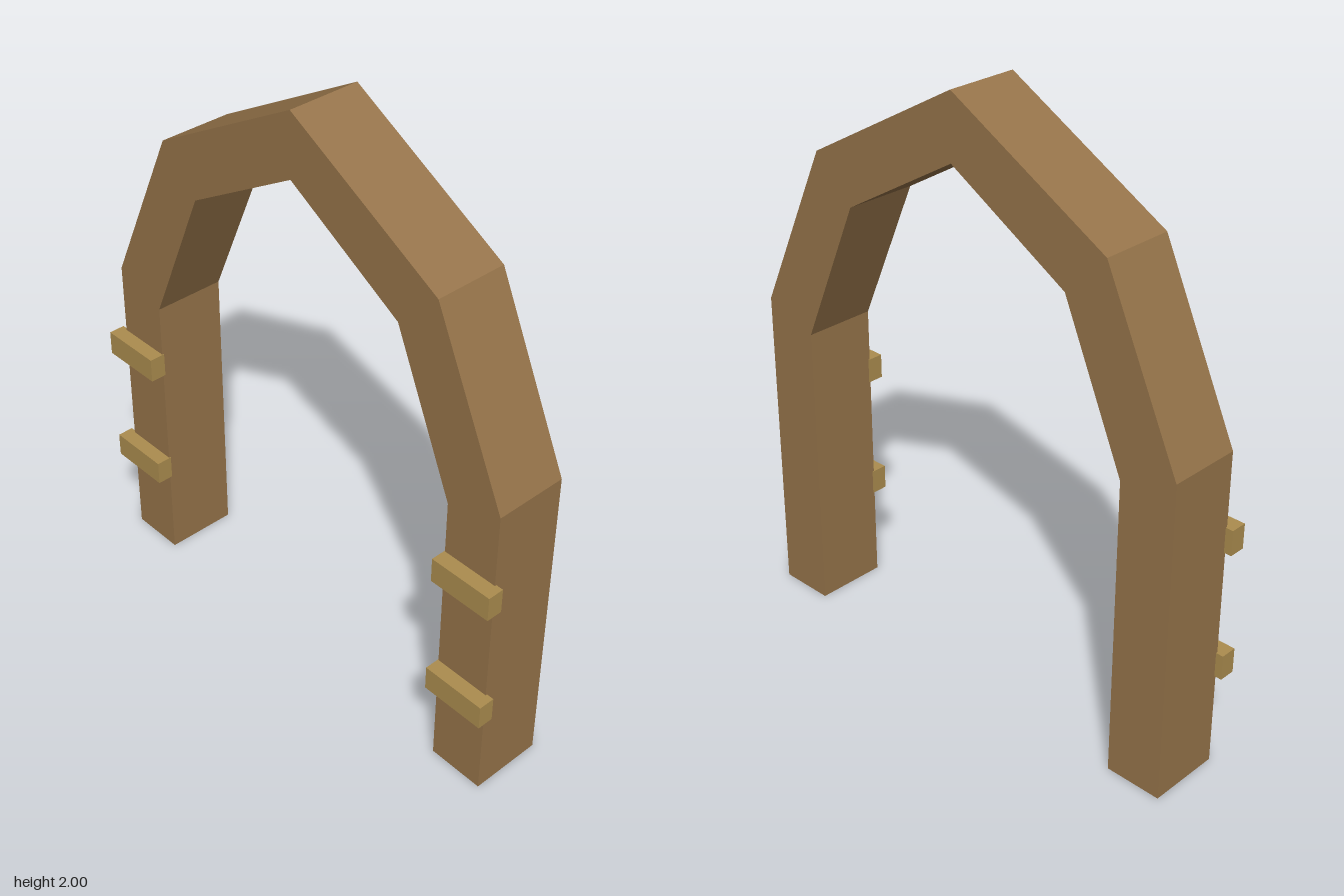
import * as THREE from 'three';

export function createModel() {
  const wood = new THREE.MeshStandardMaterial({ color: 0x96744a });
  wood.name = 'brown wood';
  wood.flatShading = true;
  const hinge = new THREE.MeshStandardMaterial({ color: 0xac8d4f });
  hinge.name = 'tarnished brass';
  hinge.flatShading = true;

  const group = new THREE.Group();
  group.name = 'doorFrame';

  // Right half outline of the arch, outer edge up and inner edge up
  const outer = [[0.85, 0], [0.85, 1.095], [0.58, 1.675]];
  const inner = [[0.655, 0], [0.655, 1.025], [0.435, 1.53]];
  const mirror = (points) => points.map(([x, y]) => [-x, y]);
  const outline = [
    ...outer, [0, 2], ...mirror(outer).reverse(),
    ...mirror(inner), [0, 1.785], ...[...inner].reverse(),
  ];
  const shape = new THREE.Shape(outline.map(([x, y]) => new THREE.Vector2(x, y)));

  // Pointed frame, set back behind the hinge plates
  const frame = new THREE.Mesh(
    new THREE.ExtrudeGeometry(shape, { depth: 0.25, bevelEnabled: false }), wood);
  frame.name = 'archFrame';
  frame.position.z = -0.15;
  group.add(frame);

  // Two hinge plates on the front of each post
  const plate = new THREE.BoxGeometry(0.223, 0.085, 0.056);
  for (const [side, sign] of [['left', 1], ['right', -1]]) {
    for (const [level, y] of [['Lower', 0.363], ['Upper', 0.803]]) {
      const mesh = new THREE.Mesh(plate, hinge);
      mesh.name = `${side}${level}Hinge`;
      mesh.position.set(sign * 0.764, y, 0.122);
      group.add(mesh);
    }
  }
  return group;
}
